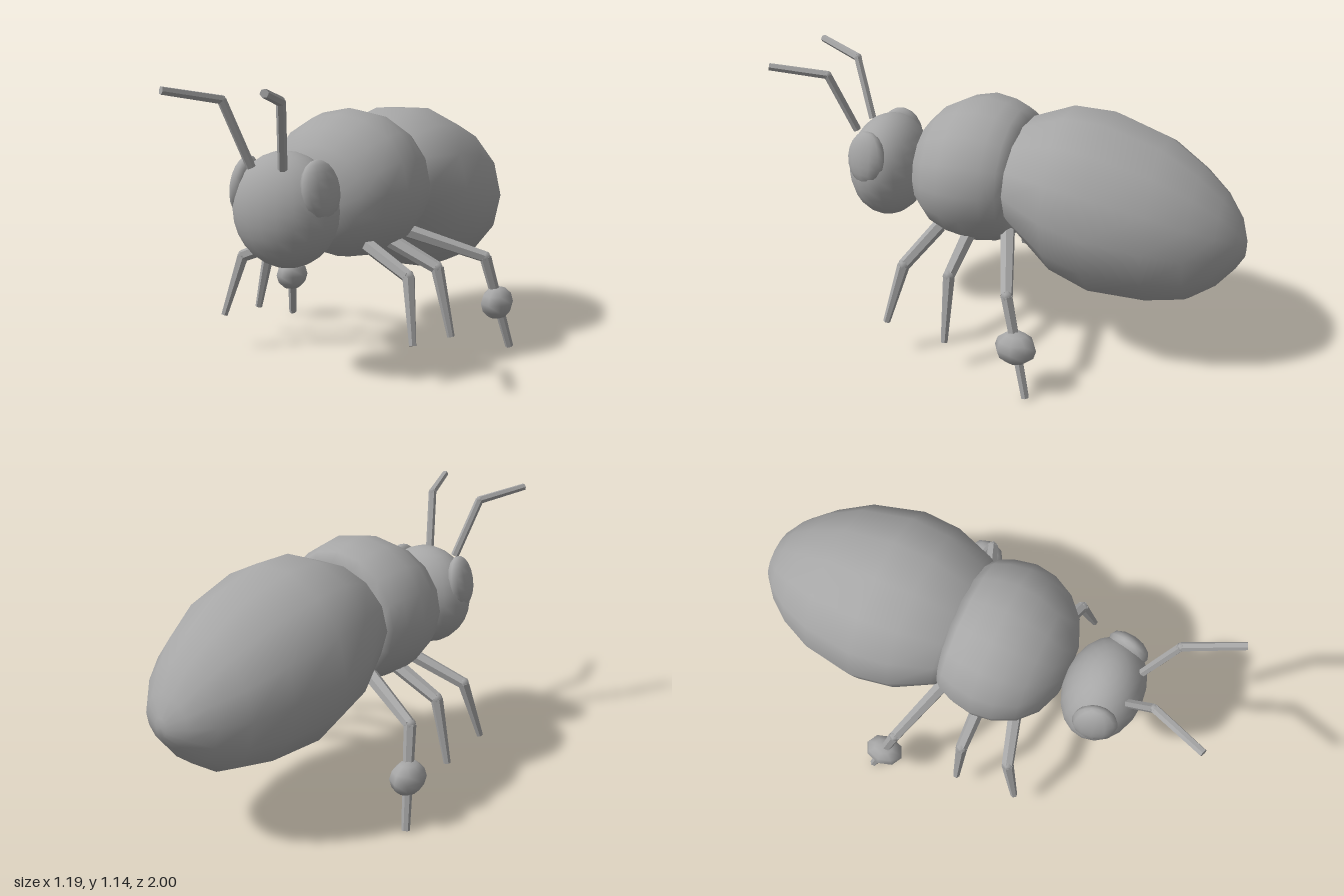
import * as THREE from 'three';

const grey = new THREE.MeshStandardMaterial({ color: 0xa6a6a6 });
grey.name = 'grey';

function add(parent, geometry, name) {
  const mesh = new THREE.Mesh(geometry, grey);
  mesh.name = name;
  parent.add(mesh);
  return mesh;
}

// Closed body of elliptical rings; each section is [z, top, bottom, halfWidth], z ascending
function loft(sections, sides) {
  const pos = [], idx = [], last = sections.length - 1;
  for (const [z, top, bottom, w] of sections) {
    for (let j = 0; j < sides; j++) {
      const a = ((j + 0.5) / sides) * Math.PI * 2 - Math.PI / sides;
      pos.push(Math.cos(a) * w, (top + bottom) / 2 + Math.sin(a) * (top - bottom) / 2, z);
    }
  }
  const start = pos.length / 3;
  for (const [z, top, bottom] of [sections[0], sections[last]]) pos.push(0, (top + bottom) / 2, z);
  for (let j = 0; j < sides; j++) {
    const k = (j + 1) % sides;
    for (let i = 0; i < last; i++) {
      const a = i * sides + j, b = i * sides + k;
      idx.push(a, b, a + sides, b, b + sides, a + sides);
    }
    idx.push(start, k, j, start + 1, last * sides + j, last * sides + k);
  }
  const g = new THREE.BufferGeometry();
  g.setAttribute('position', new THREE.Float32BufferAttribute(pos, 3));
  g.setIndex(idx);
  g.computeVertexNormals();
  return g;
}

function ellipsoid(parent, name, center, radii, w, h) {
  const mesh = add(parent, new THREE.SphereGeometry(1, w, h), name);
  mesh.position.set(...center);
  mesh.scale.set(...radii);
  return mesh;
}

// Six-sided faceted rods along a list of points, one radius per point
function limb(parent, name, side, points, radii) {
  const group = new THREE.Group();
  group.name = name;
  parent.add(group);
  const p = points.map(([x, y, z]) => new THREE.Vector3(x * side, y, z));
  for (let i = 0; i < p.length - 1; i++) {
    const dir = p[i + 1].clone().sub(p[i]);
    const g = new THREE.CylinderGeometry(radii[i + 1], radii[i], dir.length(), 6).toNonIndexed();
    g.computeVertexNormals();
    const rod = add(group, g, name + 'Segment' + (i + 1));
    rod.position.copy(p[i]).addScaledVector(dir, 0.5);
    rod.quaternion.setFromUnitVectors(new THREE.Vector3(0, 1, 0), dir.normalize());
    // joint between segments
    if (i > 0) {
      const joint = add(group, new THREE.SphereGeometry(radii[i], 6, 4), name + 'Joint');
      joint.position.copy(p[i]);
    }
  }
}

export function createModel() {
  const model = new THREE.Group();
  model.name = 'insect';

  add(model, loft([
    [-1.0, 0.565, 0.49, 0.03],
    [-0.97, 0.645, 0.44, 0.12],
    [-0.9, 0.745, 0.355, 0.2],
    [-0.8, 0.835, 0.285, 0.275],
    [-0.65, 0.935, 0.26, 0.345],
    [-0.42, 1.01, 0.265, 0.388],
    [-0.25, 1.015, 0.33, 0.368],
    [-0.08, 0.95, 0.49, 0.3],
    [0.02, 0.85, 0.58, 0.18],
  ], 14), 'abdomen');

  add(model, loft([
    [-0.08, 0.945, 0.5, 0.265],
    [-0.04, 0.985, 0.44, 0.3],
    [0.02, 1.01, 0.415, 0.325],
    [0.11, 1.025, 0.403, 0.342],
    [0.2, 1.005, 0.42, 0.33],
    [0.29, 0.96, 0.45, 0.285],
    [0.36, 0.89, 0.505, 0.21],
    [0.4, 0.81, 0.58, 0.11],
  ], 16), 'thorax');

  ellipsoid(model, 'head', [0, 0.662, 0.562], [0.222, 0.225, 0.167], 20, 14);

  for (const side of [1, -1]) {
    const label = side > 0 ? 'left' : 'right';
    const eye = ellipsoid(model, label + 'Eye', [0.175 * side, 0.75, 0.587], [0.048, 0.115, 0.092], 12, 10);
    eye.rotation.set(0, -0.2 * side, 0.18 * side);

    limb(model, label + 'Antenna', side,
      [[0.072, 0.83, 0.68], [0.133, 1.083, 0.77], [0.225, 1.122, 0.99]], [0.018, 0.018, 0.016]);
    limb(model, label + 'FrontLeg', side,
      [[0.18, 0.49, 0.255], [0.4, 0.4, 0.32], [0.455, 0.15, 0.383]], [0.03, 0.026, 0.015]);
    limb(model, label + 'MiddleLeg', side,
      [[0.18, 0.5, 0.11], [0.415, 0.4, 0.11], [0.48, 0.125, 0.11]], [0.032, 0.026, 0.015]);
    limb(model, label + 'BackLeg', side,
      [[0.17, 0.51, -0.05], [0.495, 0.405, -0.17], [0.567, 0.005, -0.275]], [0.032, 0.025, 0.017]);

    // pollen bundle on the back shin
    ellipsoid(model, label + 'PollenBall', [0.53 * side, 0.204, -0.22], [0.066, 0.07, 0.086], 8, 6);
  }
  return model;
}
